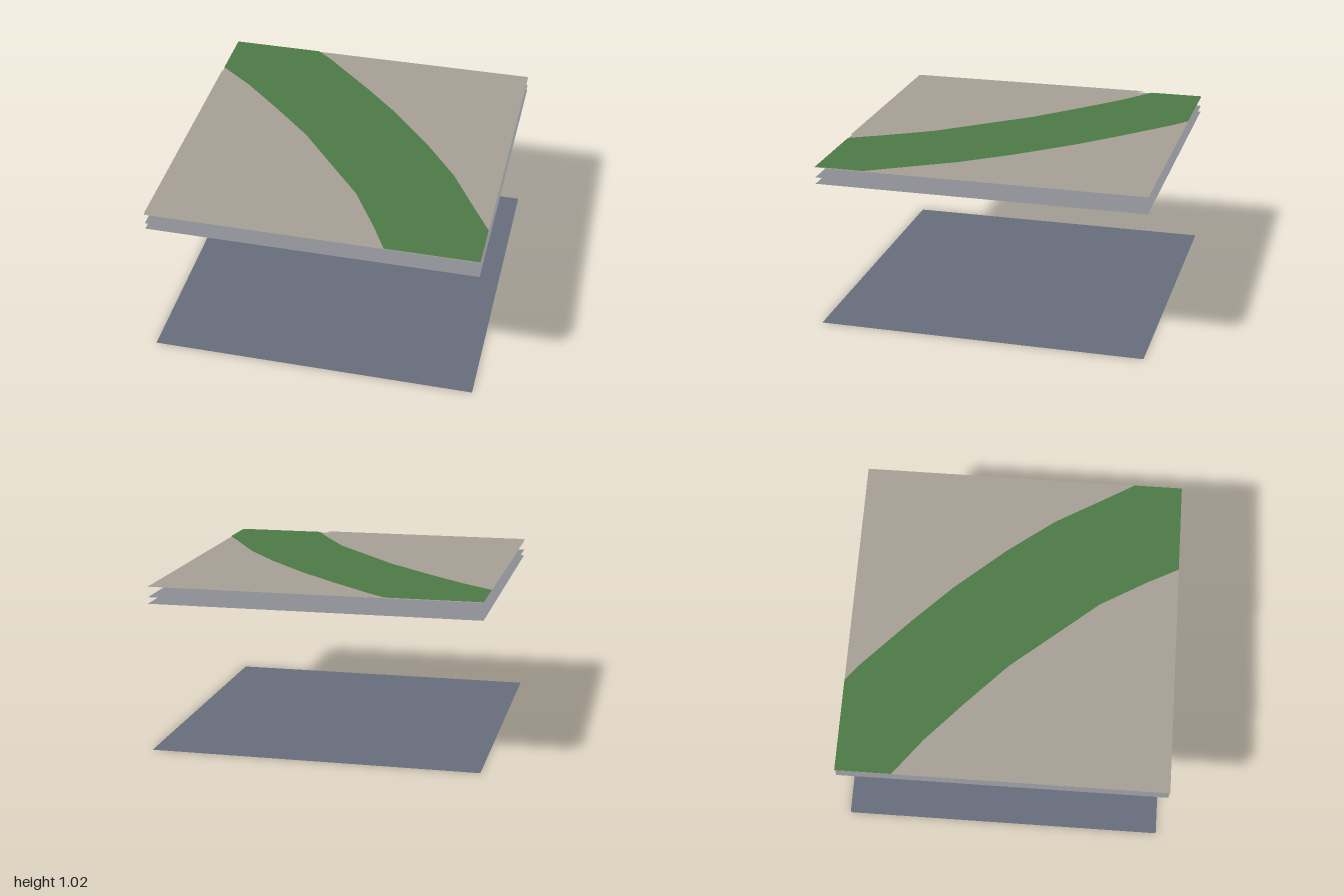
import * as THREE from 'three';

function material(name, color) {
  const m = new THREE.MeshStandardMaterial({ color, side: THREE.DoubleSide });
  m.name = name;
  return m;
}

// Flat sheet from an outline of [x, z] points, laid at height y
function sheet(name, outline, y, mat) {
  const shape = new THREE.Shape(outline.map(([x, z]) => new THREE.Vector2(x, -z)));
  const geometry = new THREE.ShapeGeometry(shape).rotateX(-Math.PI / 2);
  const mesh = new THREE.Mesh(geometry, mat);
  mesh.name = name;
  mesh.position.y = y;
  return mesh;
}

export function createModel() {
  const group = new THREE.Group();
  group.name = 'layeredGroundTile';

  const slate = material('slate blue', 0x666d7c);
  const grey = material('cool grey', 0x8d8d94);
  const stone = material('warm stone', 0xa69f94);
  const grass = material('grass green', 0x4d7a45);

  const square = [[-1, 1], [1, 1], [1, -1], [-1, -1]];

  // Curved edges, running from the back left to the front right
  const outerEdge = [[-0.43, -1], [-0.33, -0.92], [-0.01, -0.62], [0.22, -0.39],
    [0.49, -0.08], [0.71, 0.21], [0.91, 0.55], [1, 0.7]];
  const innerEdge = [[-1, -0.66], [-0.78, -0.49], [-0.54, -0.27], [-0.27, -0.01],
    [-0.03, 0.28], [0.17, 0.52], [0.34, 0.81], [0.44, 1]];
  const kerbEdge = [[-1, -0.6], [-0.8, -0.45], [-0.57, -0.25], [-0.34, 0],
    [-0.12, 0.25], [0.09, 0.54], [0.25, 0.78], [0.39, 1]];

  // Stacked square layers
  group.add(sheet('bottomLayer', square, 0, slate));
  group.add(sheet('lowerMiddleLayer', square, 0.907, grey));
  group.add(sheet('upperMiddleLayer', square, 0.947, grey));
  group.add(sheet('groundLayer', square, 1.01, stone));

  // Curved grass band
  group.add(sheet('grassBand', [...innerEdge, [1, 1], ...outerEdge.slice().reverse(), [-1, -1]],
    1.014, grass));

  // Slightly raised paving inside the curve
  group.add(sheet('raisedPaving', [...kerbEdge, [-1, 1]], 1.02, stone));

  return group;
}
